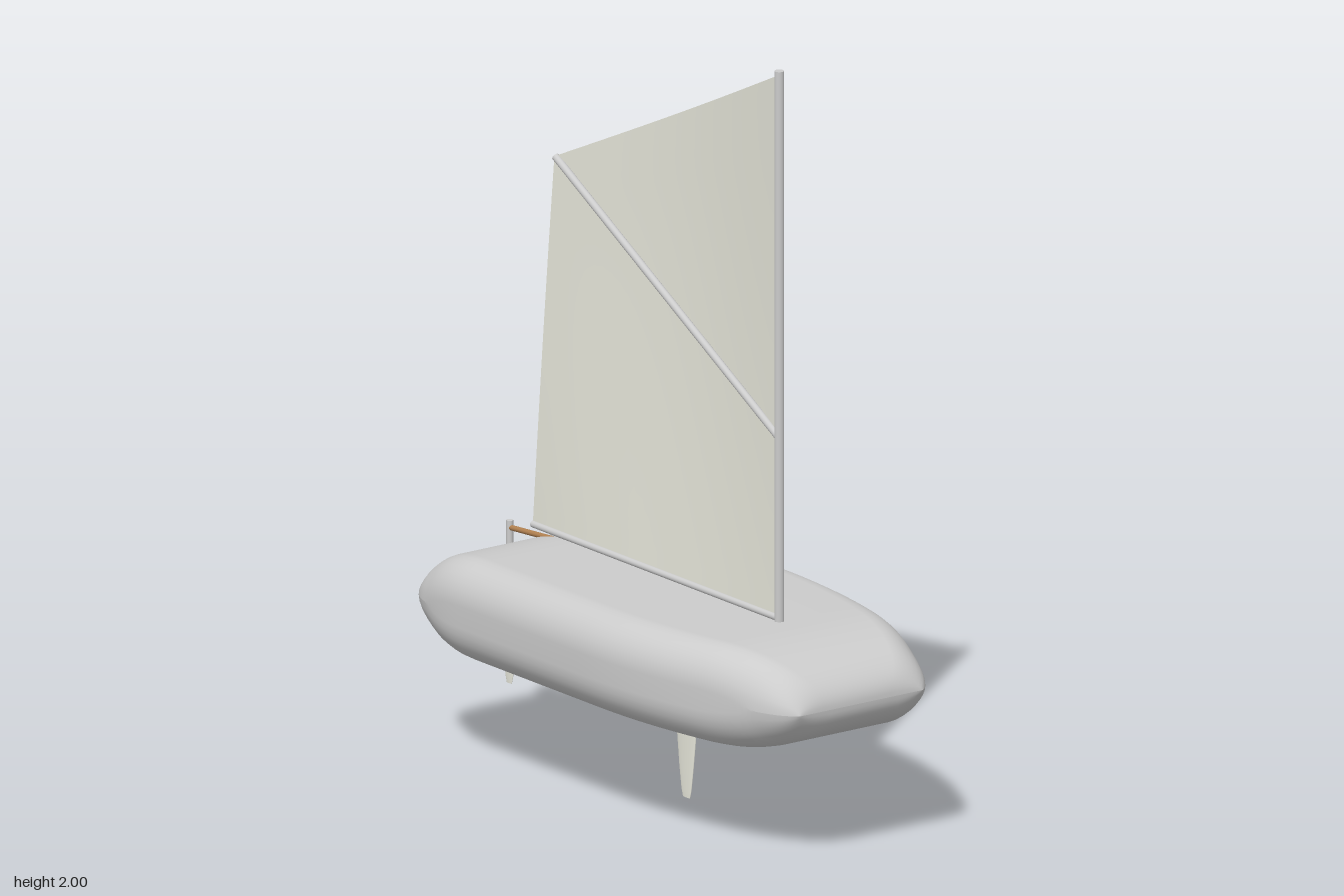
import * as THREE from 'three';

const grey = new THREE.MeshStandardMaterial({ color: 0xcccccc });
const cloth = new THREE.MeshStandardMaterial({ color: 0xe8e8dc, side: THREE.DoubleSide });
const white = new THREE.MeshStandardMaterial({ color: 0xe8e8dc });
const wood = new THREE.MeshStandardMaterial({ color: 0xb08050 });

// Skin a row of closed loops; optional flat caps at both ends
function loft(loops, capped) {
  const n = loops[0].length, pos = [], index = [];
  loops.forEach(loop => loop.forEach(p => pos.push(...p)));
  for (let i = 0; i < loops.length - 1; i++) {
    for (let j = 0; j < n; j++) {
      const k = (j + 1) % n;
      const a = i * n + j, b = i * n + k, c = (i + 1) * n + k, d = (i + 1) * n + j;
      index.push(a, b, c, a, c, d);
    }
  }
  if (capped) {
    [loops[0], loops[loops.length - 1]].forEach((loop, end) => {
      const base = pos.length / 3;
      loop.forEach(p => pos.push(...p));
      for (let j = 1; j < n - 1; j++) {
        index.push(base, base + (end ? j : j + 1), base + (end ? j + 1 : j));
      }
    });
  }
  const g = new THREE.BufferGeometry();
  g.setAttribute('position', new THREE.Float32BufferAttribute(pos, 3));
  g.setIndex(index);
  g.computeVertexNormals();
  return g;
}

// Quarter-ellipse falloff, 1 at u = 0 and 0 at u = 1
const round = (u, p = 2.1) => Math.pow(Math.max(0, 1 - Math.pow(THREE.MathUtils.clamp(u, 0, 1), p)), 1 / p);

// Rounded-box sections along x: wide in the middle, rolled over at bow and stern
function hullGeometry() {
  const x0 = -0.7, x1 = 0.755, midY = 0.4225, loops = [], steps = 72;
  for (let i = 0; i <= steps; i++) {
    const x = (x0 + x1) / 2 - (x1 - x0) / 2 * Math.cos(Math.PI * i / steps);
    const stern = (-0.46 - x) / 0.24, bow = (x - 0.455) / 0.3;
    const h = 0.1335 * round(stern) * round(bow);
    const u = Math.max(0, (x - 0.05) / 0.705);
    const w = 0.27 + 0.088 * round(stern, 2.4) - 0.135 * u * u - 0.03 * Math.pow(u, 24);
    const ry = Math.min(h, 0.105), rz = 0.1, loop = [];
    for (let q = 0; q < 4; q++) {
      const sy = q === 0 || q === 3 ? 1 : -1, sz = q < 2 ? 1 : -1;
      for (let s = 0; s <= 8; s++) {
        const a = (q + s / 8) * Math.PI / 2;
        loop.push([x, midY + sy * (h - ry) + ry * Math.cos(a), sz * (w - rz) + rz * Math.sin(a)]);
      }
    }
    loops.push(loop);
  }
  return loft(loops, false);
}

// Thin tapered blade from rows of [y, xMin, xMax, halfThickness], lowest row first
function foilGeometry(rows) {
  const n = 20;
  return loft(rows.map(([y, a, b, t]) => Array.from({ length: n }, (_, j) => {
    const ang = j / n * Math.PI * 2;
    return [(a + b) / 2 + (b - a) / 2 * Math.sin(ang), y, t * Math.cos(ang)];
  })), true);
}

// Four-cornered sail bellied toward -z, flat along the boom
function sailGeometry() {
  const nu = 28, nv = 28, g = new THREE.PlaneGeometry(1, 1, nu, nv), p = g.attributes.position;
  for (let i = 0; i < p.count; i++) {
    const u = p.getX(i) + 0.5, v = p.getY(i) + 0.5;
    const leechX = -0.62 + 0.09 * v + 0.012 * v * (v - 1), leechY = 0.565 + 0.985 * v;
    const luffY = 0.565 + 1.42 * v;
    const belly = 0.037 * Math.sin(Math.PI * u) * Math.sin(Math.PI / 2 * Math.min(1, v * 1.15));
    p.setXYZ(i, leechX + (0.402 - leechX) * u, leechY + (luffY - leechY) * u, -belly);
  }
  g.computeVertexNormals();
  return g;
}

// Round spar between two points
function spar(from, to, r, material) {
  const a = new THREE.Vector3(...from), b = new THREE.Vector3(...to);
  const mesh = new THREE.Mesh(new THREE.CylinderGeometry(r, r, a.distanceTo(b), 20), material);
  mesh.position.copy(a).add(b).multiplyScalar(0.5);
  mesh.quaternion.setFromUnitVectors(new THREE.Vector3(0, 1, 0), b.sub(a).normalize());
  return mesh;
}

export function createModel() {
  const boat = new THREE.Group();
  boat.name = 'sailingDinghy';
  const add = (name, mesh) => { mesh.name = name; boat.add(mesh); };

  add('hull', new THREE.Mesh(hullGeometry(), grey));

  // Rig
  add('mast', spar([0.411, 0.54, 0], [0.411, 2, 0], 0.0125, grey));
  add('boom', spar([-0.62, 0.563, 0], [0.41, 0.563, 0], 0.009, grey));
  add('sprit', spar([-0.525, 1.55, 0], [0.405, 1.04, 0], 0.01, grey));
  add('sail', new THREE.Mesh(sailGeometry(), cloth));

  // Underwater blades
  add('daggerboard', new THREE.Mesh(foilGeometry([
    [0, 0.008, 0.038, 0.002], [0.02, 0.002, 0.044, 0.003], [0.08, -0.007, 0.053, 0.004],
    [0.16, -0.016, 0.063, 0.005], [0.24, -0.022, 0.069, 0.006], [0.32, -0.025, 0.072, 0.006],
  ]), white));
  add('rudderBlade', new THREE.Mesh(foilGeometry([
    [0.122, -0.729, -0.708, 0.002], [0.14, -0.734, -0.703, 0.003], [0.2, -0.742, -0.694, 0.004],
    [0.28, -0.75, -0.686, 0.005], [0.36, -0.755, -0.681, 0.006], [0.455, -0.757, -0.679, 0.006],
  ]), white));

  // Steering
  add('rudderStock', spar([-0.717, 0.45, 0], [-0.717, 0.55, 0], 0.009, grey));
  add('tiller', spar([-0.717, 0.531, 0], [-0.46, 0.549, 0], 0.007, wood));
  return boat;
}
